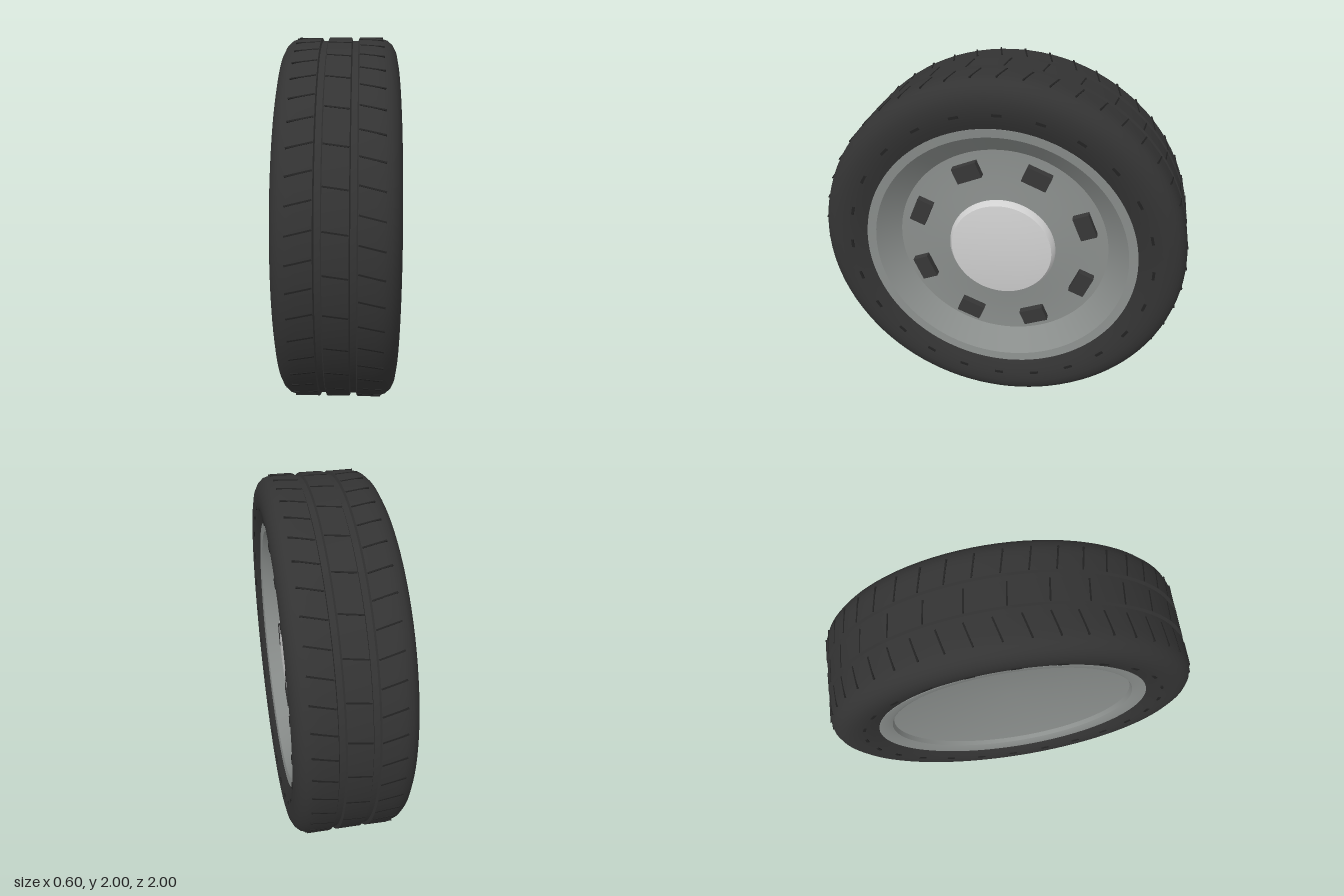
import * as THREE from 'three';
import { mergeGeometries, toCreasedNormals } from 'three/addons/utils/BufferGeometryUtils.js';

const mat = (name, color) => {
  const m = new THREE.MeshStandardMaterial({ color });
  m.name = name;
  return m;
};

// Revolves [radius, x] points around the x axis
function revolve(points, segments, crease) {
  const g = new THREE.LatheGeometry(points.map(([r, x]) => new THREE.Vector2(r, x)), segments);
  g.rotateZ(-Math.PI / 2);
  return toCreasedNormals(g, crease);
}

// Repeats a box around the x axis: size is [axial, radial, tangential]
function ringOfBoxes(count, size, x, radius, { offset = 0, slant = 0 } = {}) {
  const parts = [];
  for (let i = 0; i < count; i++) {
    const g = new THREE.BoxGeometry(...size);
    g.rotateY(slant);
    g.translate(x, radius, 0);
    g.rotateX(((i + offset) / count) * Math.PI * 2);
    parts.push(g);
  }
  return mergeGeometries(parts);
}

export function createModel() {
  const rubber = mat('tyre rubber', 0x333333);
  const dark = mat('dark tread cuts', 0x222222);
  const slotDark = mat('slot dark grey', 0x373737);
  const steel = mat('rim steel', 0x8a8e8c);
  const bright = mat('hub cap silver', 0xd0d0d0);

  const wheel = new THREE.Group();
  wheel.name = 'wheel';
  const add = (name, geometry, material) => {
    const m = new THREE.Mesh(geometry, material);
    m.name = name;
    wheel.add(m);
  };

  // Tyre: half profile from the bead to the tread centre, mirrored
  const half = [
    [0.74, 0.262], [0.79, 0.283], [0.84, 0.295], [0.89, 0.3], [0.93, 0.292],
    [0.962, 0.275], [0.984, 0.25], [0.995, 0.215], [0.998, 0.18],
    [0.998, 0.1], [0.982, 0.094], [0.982, 0.066], [0.998, 0.06],
  ];
  const profile = [...half.map(([r, x]) => [r, -x]), ...half.slice().reverse()];
  add('tyre', revolve(profile, 96, 0.5), rubber);

  // Slanted tread cuts on both shoulders and the centre rib
  add('leftShoulderCuts', ringOfBoxes(48, [0.125, 0.012, 0.008], 0.163, 0.994, { slant: -0.24 }), dark);
  add('rightShoulderCuts', ringOfBoxes(48, [0.125, 0.012, 0.008], -0.163, 0.994, { slant: 0.24, offset: 0.5 }), dark);
  add('centreCuts', ringOfBoxes(32, [0.118, 0.012, 0.008], 0, 0.994, { slant: -0.14 }), dark);

  // Small marks on both sidewalls
  for (const s of [1, -1]) {
    add(s > 0 ? 'leftSidewallMarks' : 'rightSidewallMarks',
      ringOfBoxes(24, [0.012, 0.014, 0.05], s * 0.291, 0.83), dark);
  }

  // Rim: dished back, outer barrel, stepped front and raised centre
  add('rim', revolve([
    [0, -0.14], [0.665, -0.225], [0.675, -0.25], [0.7, -0.262], [0.748, -0.268],
    [0.748, 0.268], [0.7, 0.262], [0.66, 0.225], [0.585, 0.155],
    [0.4, 0.155], [0.3, 0.17], [0, 0.17],
  ], 96, 0.4), steel);

  // Ventilation blocks on the disc
  add('ventBlocks', ringOfBoxes(8, [0.05, 0.09, 0.14], 0.17, 0.487, { offset: 0.5 }), slotDark);

  // Hub cap with bevelled edge and shallow dome
  add('hubCap', revolve([
    [0.3, 0.16], [0.295, 0.185], [0.28, 0.208], [0.19, 0.22], [0, 0.225],
  ], 64, 0.5), bright);

  wheel.position.y = 1;
  const root = new THREE.Group();
  root.add(wheel);
  return root;
}
